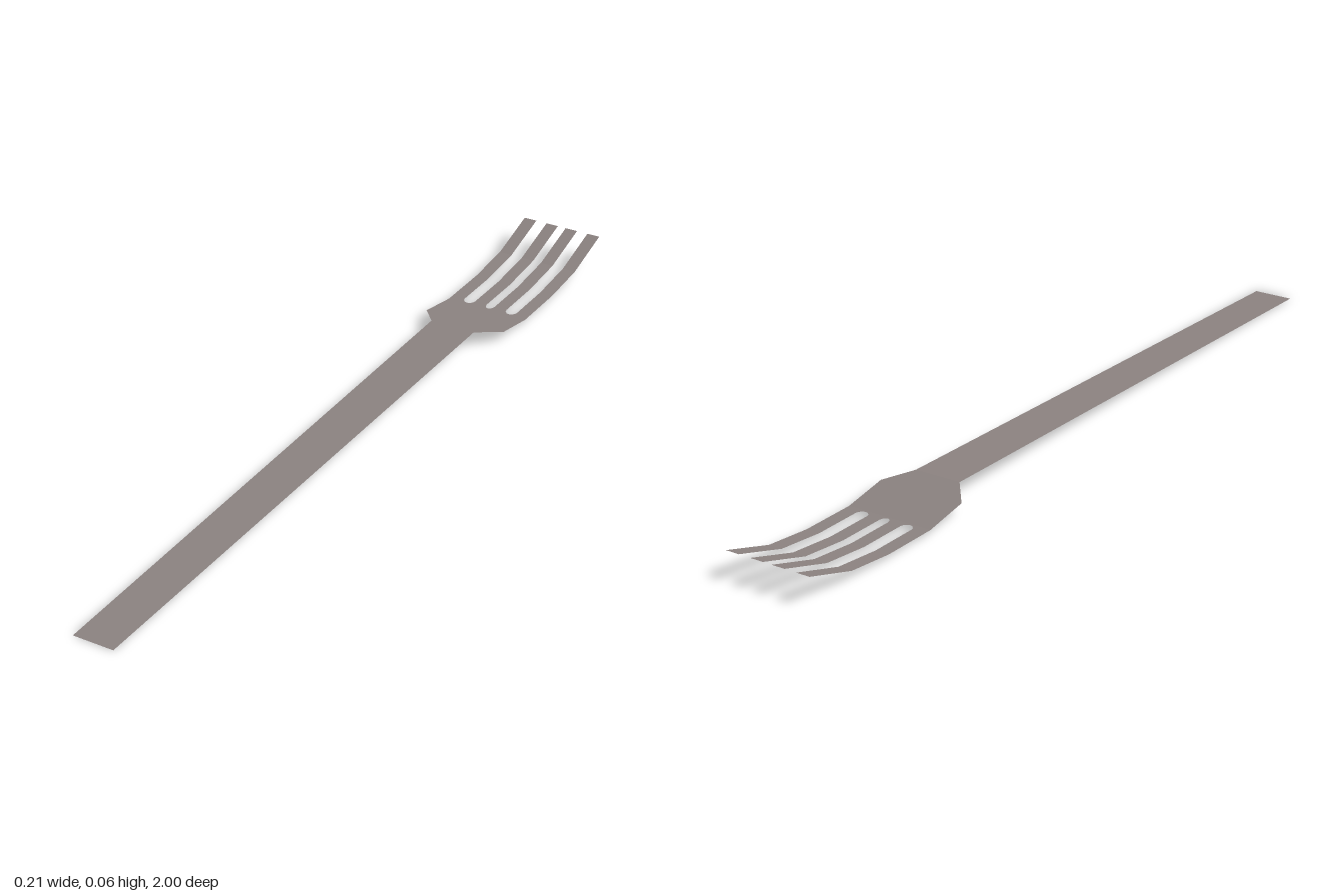
import * as THREE from 'three';

// Side profile of the sheet: [z, y] at each fold
const PROFILE = [[1, 0], [-0.44, 0.04], [-0.5, 0.027], [-0.61, 0.009], [-0.75, 0.011], [-0.87, 0.024], [-1, 0.065]];

function heightAt(z) {
  for (let i = 1; i < PROFILE.length; i++) {
    const [z0, y0] = PROFILE[i - 1], [z1, y1] = PROFILE[i];
    if (z >= z1) return y0 + (y1 - y0) * (z0 - z) / (z0 - z1);
  }
  return PROFILE[PROFILE.length - 1][1];
}

// Folded sheet through rows of [z, xMin, xMax], facing up, with crisp folds
function sheet(name, rows, material) {
  const points = [], index = [];
  rows.forEach(([z, a, b], i) => {
    const y = heightAt(z);
    points.push(a, y, z, b, y, z);
    if (i > 0) {
      const k = 2 * i;
      index.push(k - 2, k - 1, k + 1, k - 2, k + 1, k);
    }
  });
  const indexed = new THREE.BufferGeometry();
  indexed.setAttribute('position', new THREE.Float32BufferAttribute(points, 3));
  indexed.setIndex(index);
  const geometry = indexed.toNonIndexed();
  geometry.computeVertexNormals();
  const mesh = new THREE.Mesh(geometry, material);
  mesh.name = name;
  return mesh;
}

export function createModel() {
  const group = new THREE.Group();
  group.name = 'fork';
  const steel = new THREE.MeshStandardMaterial({ color: 0x8b8280, side: THREE.DoubleSide });
  steel.name = 'warm grey steel';

  // Handle, widening slightly to the neck
  group.add(sheet('handle', [[1, -0.049, 0.049], [-0.44, -0.057, 0.057]], steel));

  // Shoulders and the solid base of the head
  group.add(sheet('head', [[-0.44, -0.057, 0.057], [-0.5, -0.105, 0.105], [-0.61, -0.105, 0.105], [-0.614, -0.105, 0.105]], steel));

  // Four tines; the slots between them have rounded roots
  const slots = [[-0.072, -0.043], [-0.011, 0.011], [0.043, 0.072]];
  const root = [[-0.614, 0], [-0.616, 0.45], [-0.622, 0.85], [-0.63, 1], [-0.75, 1], [-0.87, 1], [-1, 1]];
  const edge = (slot, side, open) => {
    const middle = (slot[0] + slot[1]) / 2;
    return middle + (slot[side] - middle) * open;
  };
  for (let i = 0; i < 4; i++) {
    const rows = root.map(([z, open]) => [
      z,
      i === 0 ? -0.105 : edge(slots[i - 1], 1, open),
      i === 3 ? 0.105 : edge(slots[i], 0, open),
    ]);
    group.add(sheet('tine' + (i + 1), rows, steel));
  }
  return group;
}
